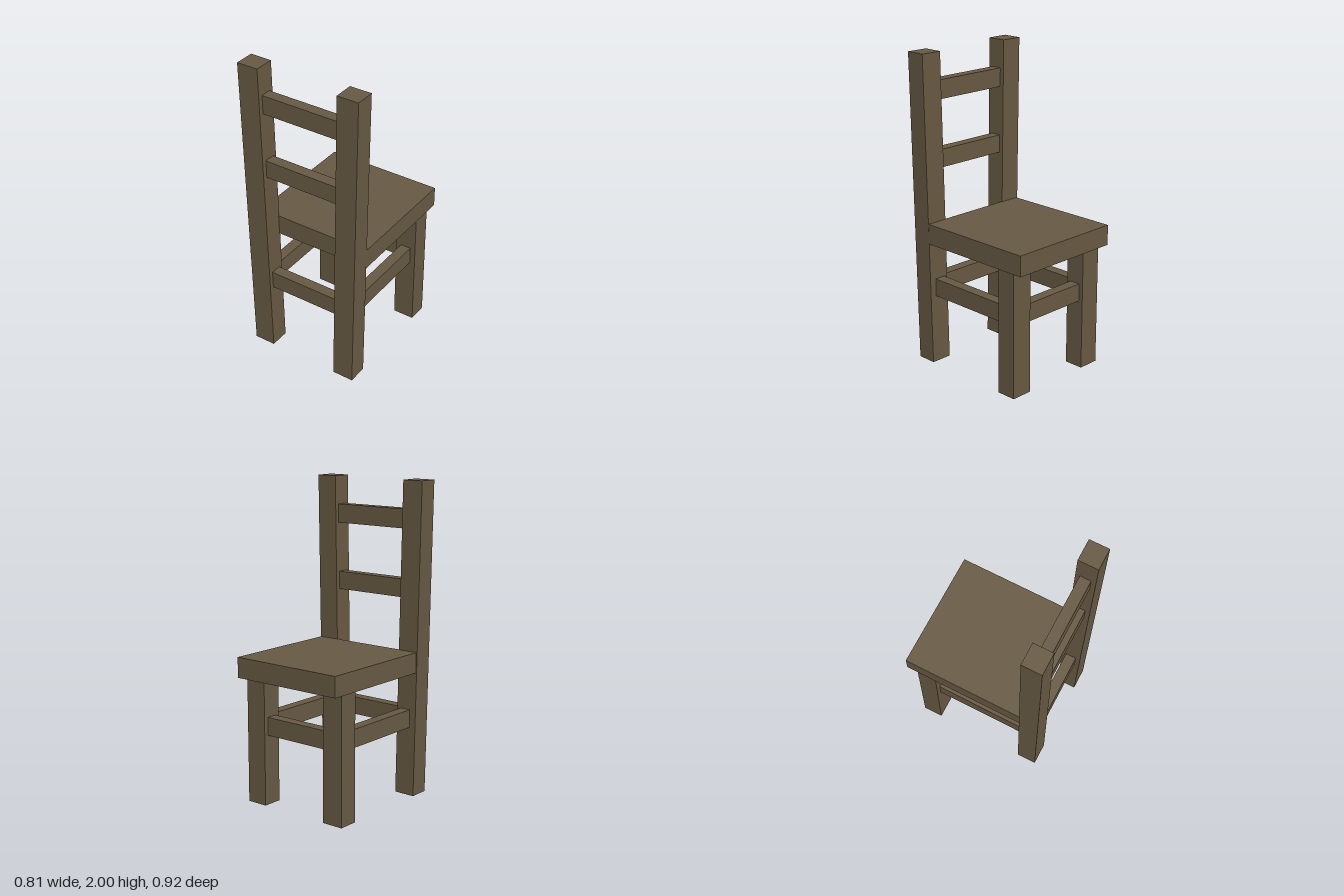
import * as THREE from 'three';

export function createModel() {
  const chair = new THREE.Group();
  chair.name = 'chair';
  const wood = new THREE.MeshStandardMaterial({ color: 0x665842, flatShading: true });

  // Box given by its lower and upper bounds on each axis
  function beam(name, [x0, x1], [y0, y1], [z0, z1]) {
    const geometry = new THREE.BoxGeometry(x1 - x0, y1 - y0, z1 - z0);
    geometry.translate((x0 + x1) / 2, (y0 + y1) / 2, (z0 + z1) / 2);
    const mesh = new THREE.Mesh(geometry, wood);
    mesh.name = name;
    chair.add(mesh);
    return mesh;
  }

  // Seat board
  beam('seat', [-0.385, 0.385], [0.81, 0.94], [-0.46, 0.338]);

  for (const [side, s] of [['left', 1], ['right', -1]]) {
    const mid = s * 0.304 - 0.003;

    // Tall post of the backrest, leaning outwards towards the top
    const post = beam(side + 'BackPost', [mid - 0.07, mid + 0.07], [0, 2], [0.332, 0.46]);
    const p = post.geometry.attributes.position;
    for (let i = 0; i < p.count; i++) p.setX(i, p.getX(i) + s * 0.033 * p.getY(i) / 2);

    // Short leg under the seat
    beam(side + 'ShortLeg', [mid - 0.07, mid + 0.07], [0, 0.81], [-0.392, -0.264]);

    // Side stretcher
    beam(side + 'Stretcher', [mid - 0.035, mid + 0.035], [0.45, 0.565], [-0.3, 0.36]);
  }

  // Cross stretchers between the legs
  beam('shortLegStretcher', [-0.27, 0.27], [0.45, 0.565], [-0.363, -0.293]);
  beam('backStretcher', [-0.27, 0.27], [0.45, 0.565], [0.36, 0.43]);

  // Slats of the backrest
  beam('lowerSlat', [-0.29, 0.29], [1.27, 1.385], [0.36, 0.43]);
  beam('upperSlat', [-0.29, 0.29], [1.7, 1.82], [0.36, 0.43]);

  return chair;
}
